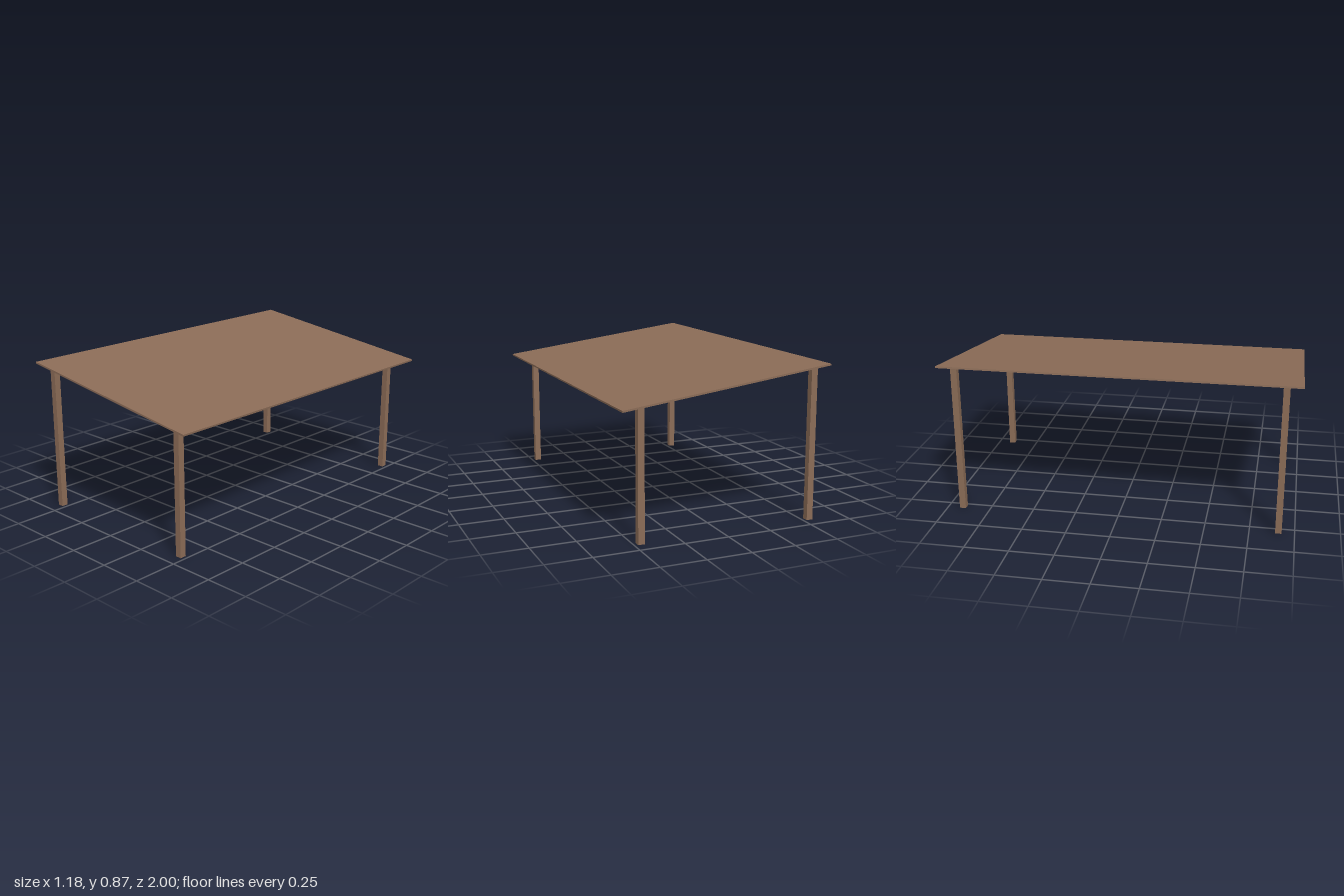
import * as THREE from 'three';

export function createModel() {
  const model = new THREE.Group();
  model.name = 'leanToCanopy';

  const wood = new THREE.MeshStandardMaterial({ color: 0x8a6b56 });
  wood.name = 'brown wood';

  // Thin roof panel, sloping down towards +x
  const roof = new THREE.Mesh(new THREE.BoxGeometry(1.189, 0.01, 2), wood);
  roof.name = 'roofPanel';
  roof.position.y = 0.792;
  roof.rotation.z = -THREE.MathUtils.degToRad(7.5);
  model.add(roof);

  // Square posts: a tall pair and a short pair
  const postSize = 0.036;
  const rows = [
    { name: 'tallPost', x: -0.537, height: 0.859 },
    { name: 'shortPost', x: 0.462, height: 0.715 },
  ];
  for (const { name, x, height } of rows) {
    for (const side of [1, -1]) {
      const post = new THREE.Mesh(new THREE.BoxGeometry(postSize, height, postSize), wood);
      post.name = name + (side > 0 ? 'Front' : 'Back');
      post.position.set(x, height / 2, side * 0.911);
      model.add(post);
    }
  }
  return model;
}
